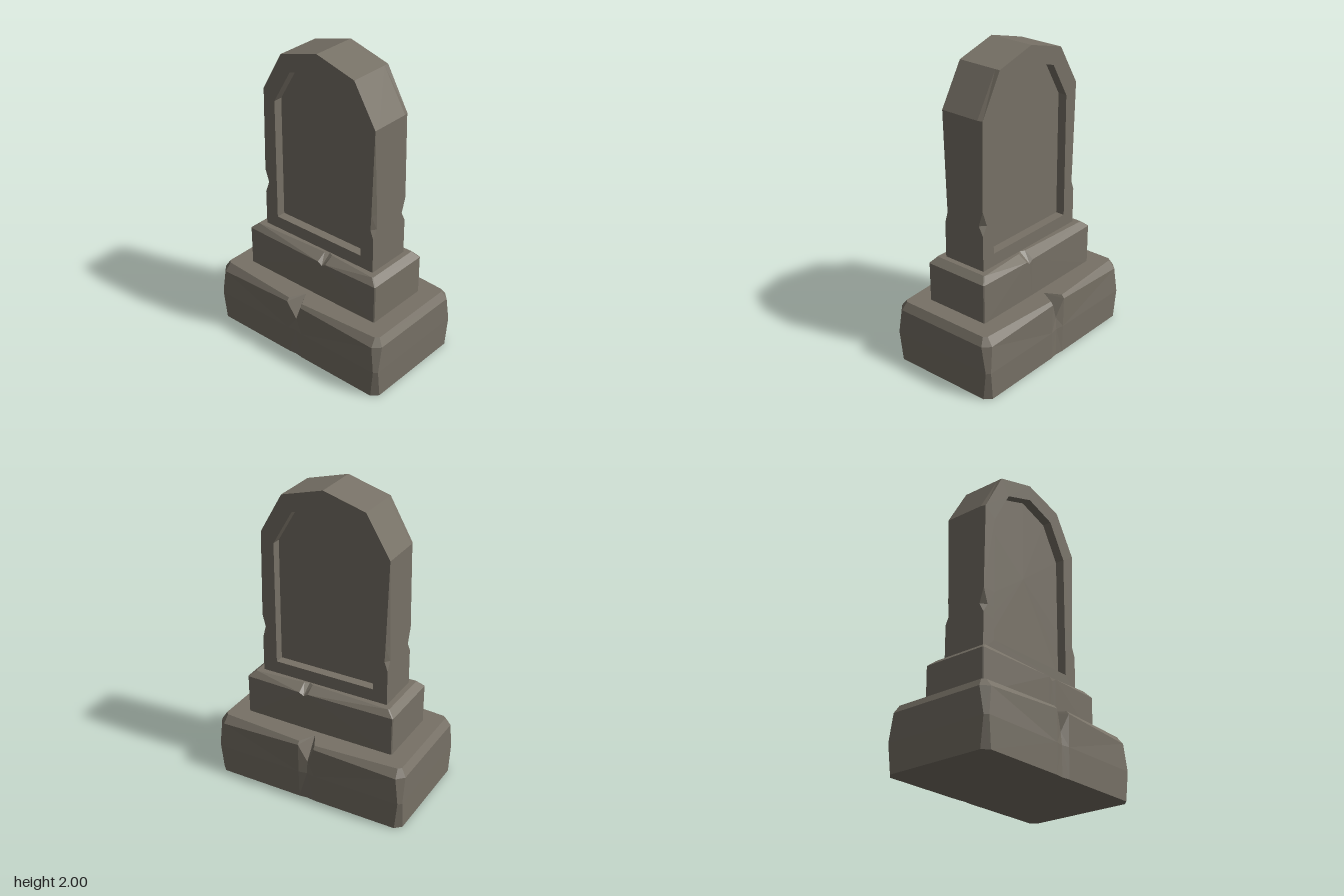
import * as THREE from 'three';

// Flat-shaded skin over rings of equal point count, closed with a fan at both ends
function loft(rings) {
  const pos = [];
  const tri = (a, b, c) => { for (const p of [a, b, c]) pos.push(p.x, p.y, p.z); };
  const n = rings[0].length;
  for (let r = 0; r < rings.length - 1; r++) {
    for (let i = 0; i < n; i++) {
      const j = (i + 1) % n, A = rings[r], B = rings[r + 1];
      // split each quad along its shorter diagonal
      if (A[i].distanceTo(B[j]) < A[j].distanceTo(B[i])) {
        tri(A[i], A[j], B[j]);
        tri(A[i], B[j], B[i]);
      } else {
        tri(A[i], A[j], B[i]);
        tri(A[j], B[j], B[i]);
      }
    }
  }
  const cap = (ring, flip) => {
    const mid = new THREE.Box3().setFromPoints(ring).getCenter(new THREE.Vector3());
    for (let i = 0; i < n; i++) {
      const a = ring[i], b = ring[(i + 1) % n];
      if (flip) tri(mid, b, a); else tri(mid, a, b);
    }
  };
  cap(rings[0], true);
  cap(rings[rings.length - 1], false);
  const g = new THREE.BufferGeometry();
  g.setAttribute('position', new THREE.Float32BufferAttribute(pos, 3));
  g.computeVertexNormals();
  return g;
}

// Horizontal outline of a block: clipped corners and a worn notch front and back
function blockRing({ y, hw, hd, c, nx, w, bulge = 0, depth = 0, lift = 0, drop = 0 }) {
  const front = [
    [-hw, y, hd - c], [-hw + c, y, hd],
    [nx - w, y + lift, hd + bulge], [nx, y - drop, hd - depth], [nx + w, y + lift, hd + bulge],
    [hw - c, y, hd], [hw, y, hd - c],
  ].map((p) => new THREE.Vector3(...p));
  const back = front.map((p) => new THREE.Vector3(p.x, p.y, -p.z)).reverse();
  return [...front, ...back];
}

// Upright arched outline, counter-clockwise from the lower left corner.
// One side edge carries a short chip, the other a long sliver; they swap sides at the back.
function slabRing(z, inner, chip = 0, sliver = 0) {
  const hw = inner ? 0.34 : 0.435;
  const side = inner
    ? [[hw, 0.79], [hw, 0.92], [hw, 1.0], [hw, 1.1], [hw, 1.6], [0.21, 1.825]]
    : [[hw, 0.7], [hw, 0.94], [hw, 1.0], [hw, 1.1], [hw, 1.66], [0.278, 1.922]];
  const chipInset = [0, 0, chip, 0, chip * 0.25, 0];
  const sliverInset = [0, 0, sliver, sliver * 0.8, 0, 0];
  const edge = (sign, inset) => side.map(([x, y], i) => new THREE.Vector3(sign * (x - inset[i]), y, z));
  const right = edge(1, z > 0 ? sliverInset : chipInset);
  const left = edge(-1, z > 0 ? chipInset : sliverInset).reverse();
  return [...right, new THREE.Vector3(0, inner ? 1.895 : 2, z), ...left];
}

export function createModel() {
  const group = new THREE.Group();
  const stone = new THREE.MeshStandardMaterial({ color: 0x777166, flatShading: true });
  stone.name = 'weathered stone';
  const add = (name, geometry) => {
    const mesh = new THREE.Mesh(geometry, stone);
    mesh.name = name;
    group.add(mesh);
  };

  // Wide bottom block with a deep central notch
  const base = { nx: 0, w: 0.055 };
  add('basePlinth', loft([
    { ...base, y: 0, hw: 0.655, hd: 0.374, c: 0.04, depth: 0.006 },
    { ...base, y: 0.19, hw: 0.658, hd: 0.379, c: 0.022, depth: 0.01 },
    { ...base, y: 0.362, hw: 0.658, hd: 0.37, c: 0.045, bulge: 0.012, depth: 0.008, lift: 0.03, drop: 0.09 },
    { ...base, y: 0.413, hw: 0.627, hd: 0.33, c: 0.02, bulge: 0.035, depth: 0.065 },
  ].map(blockRing)));

  // Middle step with an off-centre chip in its bevel
  const step = { nx: 0.1, w: 0.03 };
  add('middleStep', loft([
    { ...step, y: 0.4, hw: 0.512, hd: 0.222, c: 0.006, bulge: 0.003, depth: -0.003 },
    { ...step, y: 0.67, hw: 0.514, hd: 0.222, c: 0.006, bulge: 0.01, depth: -0.008, drop: 0.02 },
    { ...step, y: 0.708, hw: 0.47, hd: 0.19, c: 0.006, bulge: -0.022, depth: 0.038 },
  ].map(blockRing)));

  // Upright slab with a deep recessed panel on both faces and chipped edges
  add('headstoneSlab', loft([
    slabRing(-0.09, true),
    slabRing(-0.15, true),
    slabRing(-0.15, false, 0.035, 0.022),
    slabRing(-0.118, false),
    slabRing(0.118, false),
    slabRing(0.15, false, 0.035, 0.022),
    slabRing(0.15, true),
    slabRing(0.09, true),
  ]));

  return group;
}
